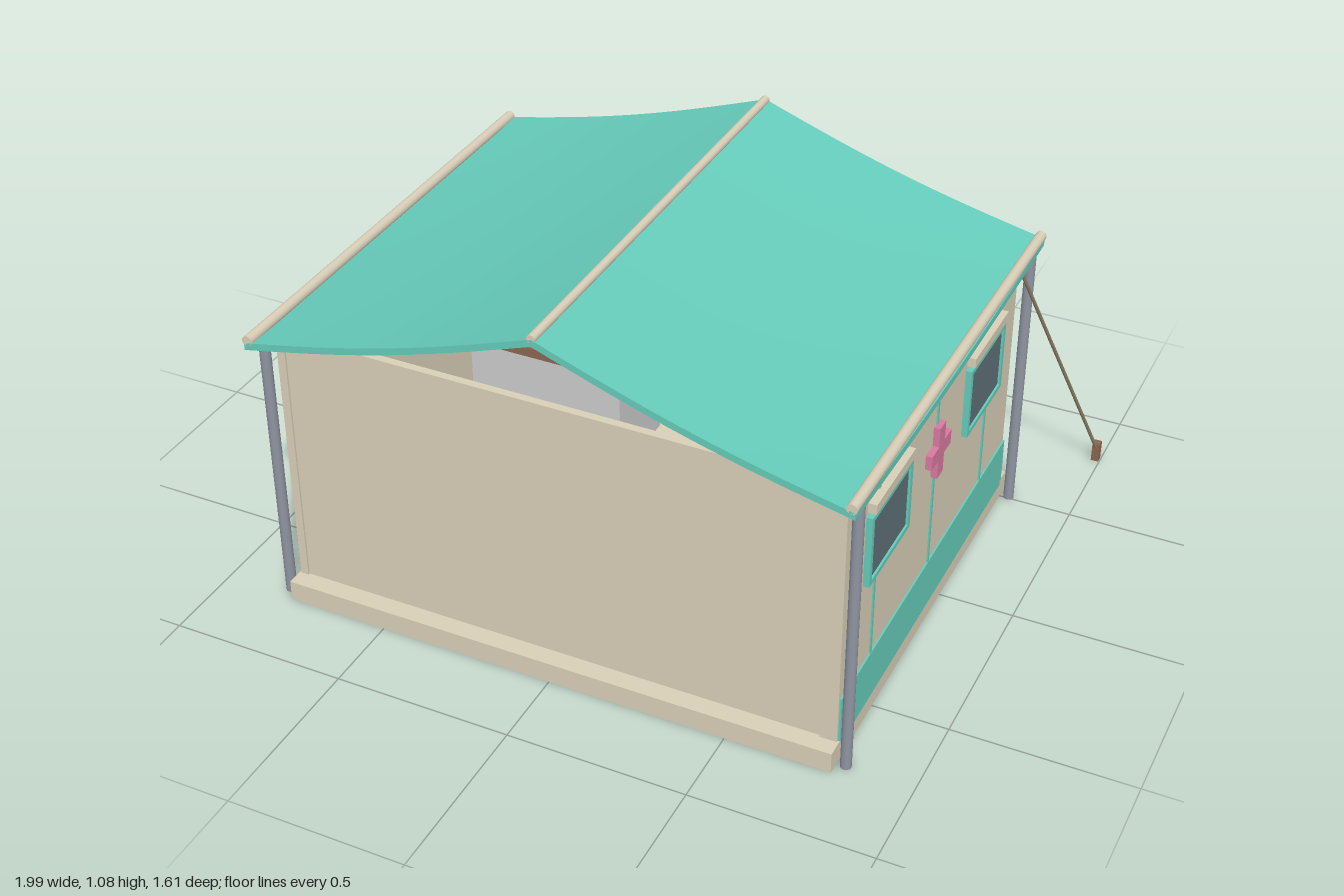
import * as THREE from 'three';

const mat = (color) => new THREE.MeshStandardMaterial({ color, side: THREE.DoubleSide });
const M = {
  canvas: mat(0xd9cfb8), teal: mat(0x66ccbb), pole: mat(0x8f94a0), pink: mat(0xd87aa0),
  glass: mat(0x5f6f78), wood: mat(0x8a6650), blue: mat(0x5a6fa8), grey: mat(0xcccccc), rope: mat(0x8a8068),
};
const Z0 = -0.57, Z1 = 0.80, ZM = (Z0 + Z1) / 2, HALF = 0.83;

export function createModel() {
  const model = new THREE.Group();
  const add = (name, geo, m, x = 0, y = 0, z = 0, parent = model) => {
    const mesh = new THREE.Mesh(geo, m);
    mesh.name = name;
    mesh.position.set(x, y, z);
    parent.add(mesh);
    return mesh;
  };
  // box given by its extents
  const box = (name, m, x0, x1, y0, y1, z0, z1, parent = model) =>
    add(name, new THREE.BoxGeometry(Math.abs(x1 - x0), y1 - y0, z1 - z0), m,
      (x0 + x1) / 2, (y0 + y1) / 2, (z0 + z1) / 2, parent);
  // round bar between two points
  const bar = (name, m, a, b, r) => {
    const p = new THREE.Vector3(...a), q = new THREE.Vector3(...b), d = q.clone().sub(p);
    const mesh = add(name, new THREE.CylinderGeometry(r, r, d.length(), 12), m);
    mesh.position.copy(p).add(q).multiplyScalar(0.5);
    mesh.quaternion.setFromUnitVectors(new THREE.Vector3(0, 1, 0), d.normalize());
    return mesh;
  };
  // plus-shaped sign facing +z
  const cross = (name, w, h, t, depth) => {
    const s = new THREE.Shape();
    const a = w / 2, b = h / 2, c = t / 2;
    [[-c, -b], [c, -b], [c, -c], [a, -c], [a, c], [c, c], [c, b], [-c, b], [-c, c], [-a, c], [-a, -c], [-c, -c]]
      .forEach(([x, y], i) => (i ? s.lineTo(x, y) : s.moveTo(x, y)));
    const g = new THREE.ExtrudeGeometry(s, { depth, bevelEnabled: false });
    g.translate(0, 0, -depth / 2);
    return add(name, g, M.pink);
  };

  // floor and sills
  box('floor', M.canvas, -0.79, 0.79, 0, 0.045, -0.53, 0.76);
  box('frontSill', M.canvas, -0.79, 0.79, 0, 0.06, 0.715, 0.775);
  box('backSill', M.canvas, -0.79, 0.79, 0, 0.06, -0.54, -0.49);

  // front wall with edge strips
  box('frontWall', M.canvas, -0.785, 0.785, 0.05, 0.83, 0.70, 0.722);
  box('frontStrip', M.canvas, -0.785, -0.762, 0.06, 0.828, 0.722, 0.728);
  box('frontStrip', M.canvas, 0.738, 0.785, 0.06, 0.828, 0.722, 0.728);

  // sagging roof, one sheet per slope
  const roofY = (x, z) => {
    const s = Math.abs(x) / HALF, e = (z - ZM) / (Z1 - ZM);
    return 1.06 - 0.24 * s - 0.02 * Math.sin(Math.PI * s) - 0.016 * (1 - e * e);
  };
  for (const side of [-1, 1]) {
    const g = new THREE.BoxGeometry(HALF, 0.02, Z1 - Z0, 16, 1, 16);
    g.translate(side * HALF / 2, 0, ZM);
    const p = g.attributes.position;
    for (let i = 0; i < p.count; i++) p.setY(i, p.getY(i) + roofY(p.getX(i), p.getZ(i)));
    g.computeVertexNormals();
    add('roofSheet', g, M.teal);
    bar('eaveBar', M.canvas, [side * 0.82, 0.838, Z0], [side * 0.82, 0.838, Z1], 0.015);
  }
  bar('ridgeBar', M.canvas, [0, 1.07, Z0], [0, 1.07, Z1], 0.012);

  for (const side of [-1, 1]) {
    // side wall, lower band and seams
    box('sideWall', M.canvas, side * 0.765, side * 0.785, 0.04, 0.812, -0.50, 0.722);
    box('lowerBand', M.teal, side * 0.78, side * 0.79, 0.04, 0.195, -0.50, 0.722);
    for (const z of [0.525, 0.115, -0.29])
      box('wallSeam', M.teal, side * 0.78, side * 0.789, 0.195, 0.81, z - 0.005, z + 0.005);

    // windows: frame, inner edge, pane and rolled awning
    for (const z of [0.465, -0.235]) {
      const frame = new THREE.Shape();
      frame.moveTo(-0.137, -0.104).lineTo(0.137, -0.104).lineTo(0.137, 0.104).lineTo(-0.137, 0.104);
      const hole = new THREE.Path();
      hole.moveTo(-0.122, -0.09).lineTo(-0.122, 0.09).lineTo(0.122, 0.09).lineTo(0.122, -0.09);
      frame.holes.push(hole);
      const g = new THREE.ExtrudeGeometry(frame, { depth: 0.018, bevelEnabled: false });
      g.translate(0, 0, -0.009);
      add('windowFrame', g, M.teal, side * 0.793, 0.566, z).rotation.y = Math.PI / 2;
      box('windowBorder', M.canvas, side * 0.78, side * 0.792, 0.472, 0.66, z - 0.125, z + 0.125);
      box('windowPane', M.glass, side * 0.78, side * 0.797, 0.478, 0.654, z - 0.118, z + 0.118);
      box('windowAwning', M.canvas, side * 0.78, side * 0.808, 0.68, 0.708, z - 0.13, z + 0.13);
    }
    const sign = cross('sideCross', 0.14, 0.155, 0.042, 0.02);
    sign.position.set(side * 0.793, 0.56, 0.115);
    sign.rotation.y = Math.PI / 2;

    // corner poles
    for (const z of [0.737, -0.507])
      bar('cornerPole', M.pole, [side * 0.815, 0, z], [side * 0.815, 0.83, z], 0.015);

    // guy rope and stake
    bar('guyRope', M.rope, [side * 0.82, 0.82, -0.40], [side * 0.985, 0.045, -0.79], 0.005);
    box('stake', M.wood, side * 0.975, side * 0.997, 0, 0.06, -0.807, -0.785);

    // back flap with knob, door post
    box('backFlap', M.canvas, side * 0.57, side * 0.71, 0.06, 0.78, -0.535, -0.51);
    const knob = add('flapKnob', new THREE.CylinderGeometry(0.014, 0.014, 0.035, 14), M.teal, side * 0.64, 0.37, -0.55);
    knob.rotation.x = Math.PI / 2;
    box('doorPost', M.teal, side * 0.30, side * 0.335, 0.045, 0.725, -0.53, -0.495);
  }
  box('doorBeam', M.teal, -0.335, 0.335, 0.69, 0.725, -0.53, -0.495);
  cross('doorCross', 0.17, 0.16, 0.055, 0.018).position.set(0, 0.715, -0.535);

  // cot with pillow, blanket and backboard
  const cot = new THREE.Group();
  cot.name = 'cot';
  model.add(cot);
  box('cotFrame', M.blue, -0.12, 0.63, 0.135, 0.165, 0.12, 0.44, cot);
  box('mattress', M.canvas, -0.11, 0.62, 0.165, 0.195, 0.13, 0.43, cot);
  box('pillow', M.grey, 0.48, 0.60, 0.195, 0.222, 0.17, 0.39, cot);
  box('blanket', M.teal, -0.115, 0.2, 0.165, 0.203, 0.125, 0.435, cot);
  box('backboard', M.grey, -0.12, 0.63, 0.165, 0.31, 0.44, 0.455, cot);
  for (const x of [-0.1, 0.59]) for (const z of [0.135, 0.425])
    box('cotLeg', M.blue, x - 0.013, x + 0.013, 0.045, 0.14, z - 0.013, z + 0.013, cot);

  // counter
  const counter = new THREE.Group();
  counter.name = 'counter';
  model.add(counter);
  box('counterBody', M.grey, -0.70, -0.22, 0.045, 0.375, -0.34, -0.08, counter);
  box('counterTop', M.wood, -0.72, -0.20, 0.375, 0.405, -0.36, -0.06, counter);
  box('supplyBox', M.grey, -0.45, -0.35, 0.405, 0.445, -0.24, -0.16, counter);

  return model;
}
